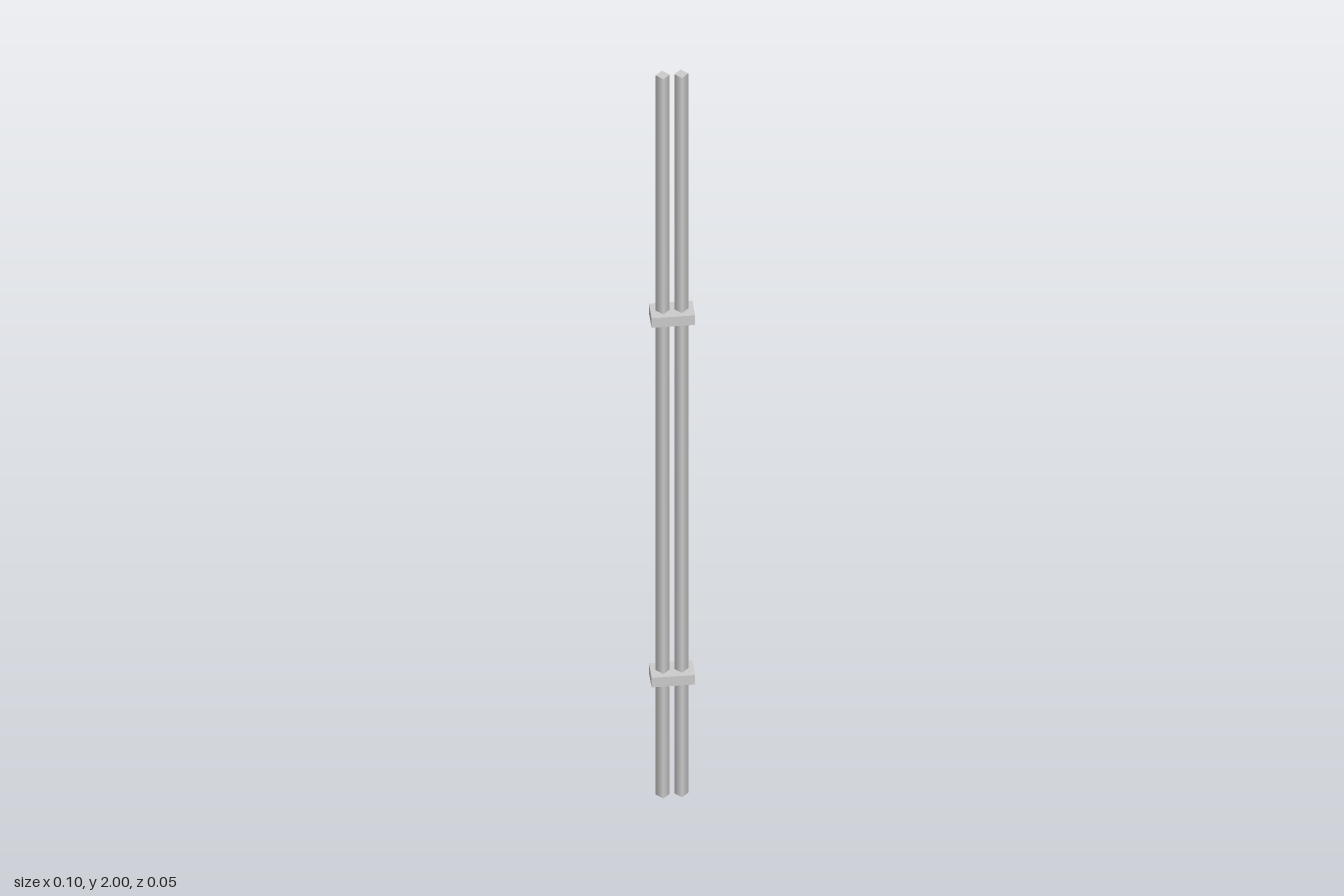
import * as THREE from 'three';

export function createModel() {
  const model = new THREE.Group();
  const material = new THREE.MeshStandardMaterial({ color: 0xcccccc });

  const add = (name, geometry, x, y) => {
    const mesh = new THREE.Mesh(geometry, material);
    mesh.name = name;
    mesh.position.set(x, y, 0);
    model.add(mesh);
  };

  // Two four-sided poles, corners facing front and sides, shaded smoothly
  const pole = new THREE.CylinderGeometry(0.0155, 0.0155, 2, 4);
  add('leftPole', pole, 0.0205, 1);
  add('rightPole', pole, -0.0205, 1);

  // Clamp blocks holding the poles together
  const clamp = new THREE.BoxGeometry(0.096, 0.0265, 0.053);
  add('lowerClamp', clamp, 0, 0.333);
  add('upperClamp', clamp, 0, 1.333);

  return model;
}
